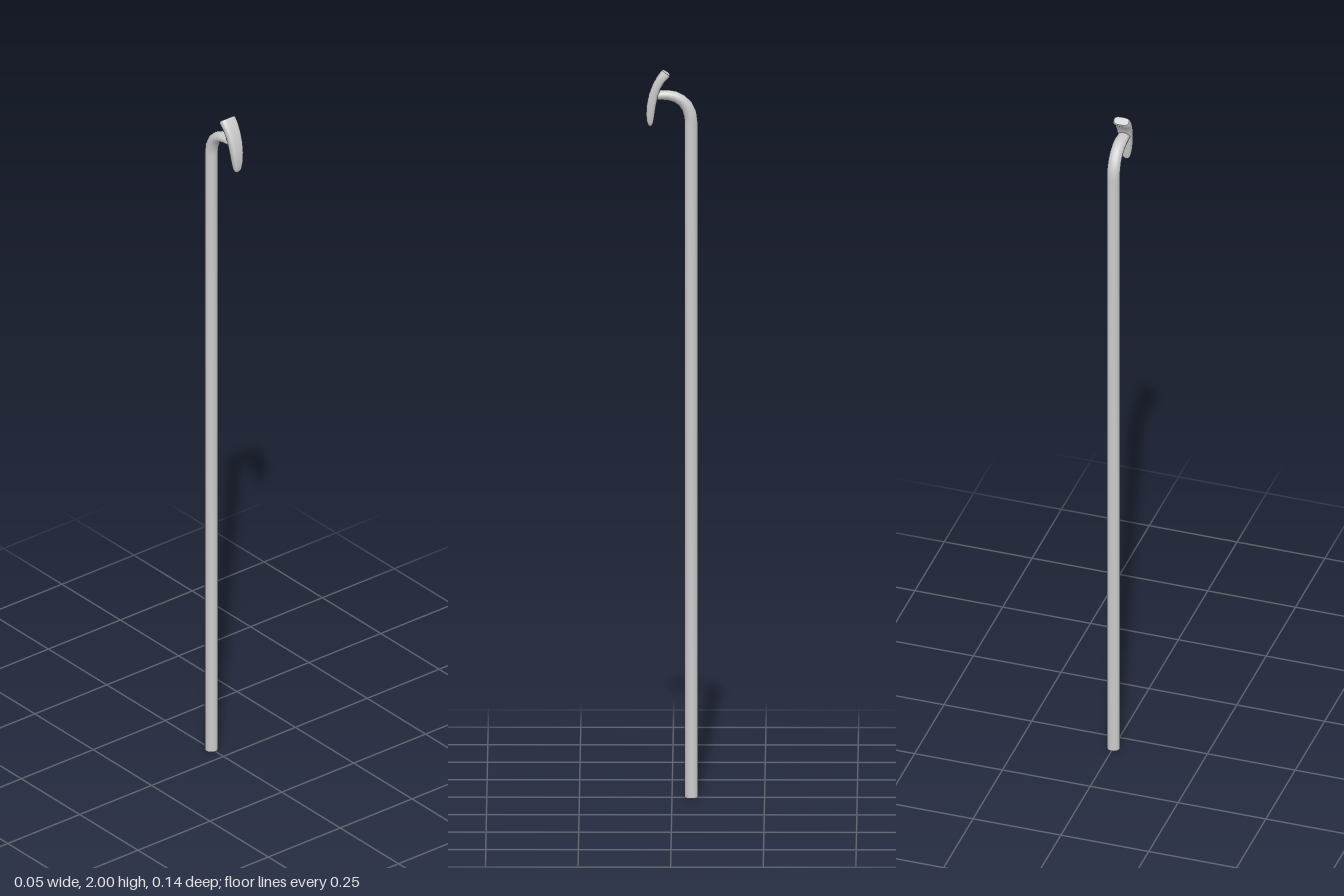
import * as THREE from 'three';

const material = new THREE.MeshStandardMaterial({ color: 0xcccccc });

// Skins rounded cross-sections. Each section is
// [outer z, outer y, inner z, inner y, half width in x]; power < 1 squares the rings.
function loft(name, sections, sides, power = 1) {
  const positions = [];
  const index = [];
  const shape = (v) => Math.sign(v) * Math.pow(Math.abs(v), power);
  const addRing = ([oz, oy, iz, iy, w]) => {
    const start = positions.length / 3;
    for (let j = 0; j < sides; j++) {
      const t = (j / sides) * Math.PI * 2;
      const c = shape(Math.cos(t)) / 2;
      positions.push(w * shape(Math.sin(t)), (oy + iy) / 2 + (oy - iy) * c, (oz + iz) / 2 + (oz - iz) * c);
    }
    return start;
  };
  const rings = sections.map(addRing);
  for (let i = 0; i < rings.length - 1; i++) {
    for (let j = 0; j < sides; j++) {
      const k = (j + 1) % sides;
      const a = rings[i] + j, b = rings[i] + k, c = rings[i + 1] + k, d = rings[i + 1] + j;
      index.push(a, c, b, a, d, c);
    }
  }
  // Flat end caps on their own vertices, to keep the rims sharp
  [sections[0], sections[sections.length - 1]].forEach((section, end) => {
    const s = addRing(section);
    for (let j = 1; j < sides - 1; j++) {
      if (end) index.push(s, s + j + 1, s + j);
      else index.push(s, s + j, s + j + 1);
    }
  });
  const geometry = new THREE.BufferGeometry();
  geometry.setAttribute('position', new THREE.Float32BufferAttribute(positions, 3));
  geometry.setIndex(index);
  geometry.computeVertexNormals();
  const mesh = new THREE.Mesh(geometry, material);
  mesh.name = name;
  return mesh;
}

export function createModel() {
  const group = new THREE.Group();
  group.name = 'hookedStaff';

  // Straight shaft, then a neck bending forward and thinning toward the head
  const shaft = [
    [-0.07, 0, -0.034, 0, 0.018],
    [-0.07, 0.15, -0.034, 0.15, 0.018],
    [-0.07, 1.0, -0.034, 1.0, 0.018],
    [-0.07, 1.855, -0.034, 1.855, 0.018],
    [-0.066, 1.885, -0.032, 1.872, 0.018],
    [-0.053, 1.912, -0.027, 1.889, 0.018],
    [-0.034, 1.93, -0.018, 1.902, 0.018],
    [-0.012, 1.941, -0.005, 1.911, 0.018],
    [0.012, 1.945, 0.012, 1.916, 0.018],
    [0.05, 1.944, 0.05, 1.918, 0.016],
  ];
  group.add(loft('shaft', shaft, 16));

  // Curved head, wide at the flared top and narrowing to a rounded lower tip
  const head = [
    [0.025, 1.999, 0.006, 1.986, 0.021],
    [0.029, 1.996, 0.006, 1.981, 0.024],
    [0.041, 1.98, 0.02, 1.967, 0.0235],
    [0.053, 1.959, 0.031, 1.948, 0.022],
    [0.063, 1.932, 0.038, 1.925, 0.0205],
    [0.069, 1.903, 0.043, 1.902, 0.0185],
    [0.07, 1.876, 0.047, 1.876, 0.0155],
    [0.068, 1.857, 0.05, 1.857, 0.012],
    [0.065, 1.849, 0.053, 1.849, 0.009],
    [0.061, 1.845, 0.056, 1.845, 0.004],
  ];
  group.add(loft('head', head, 24, 0.65));

  return group;
}
